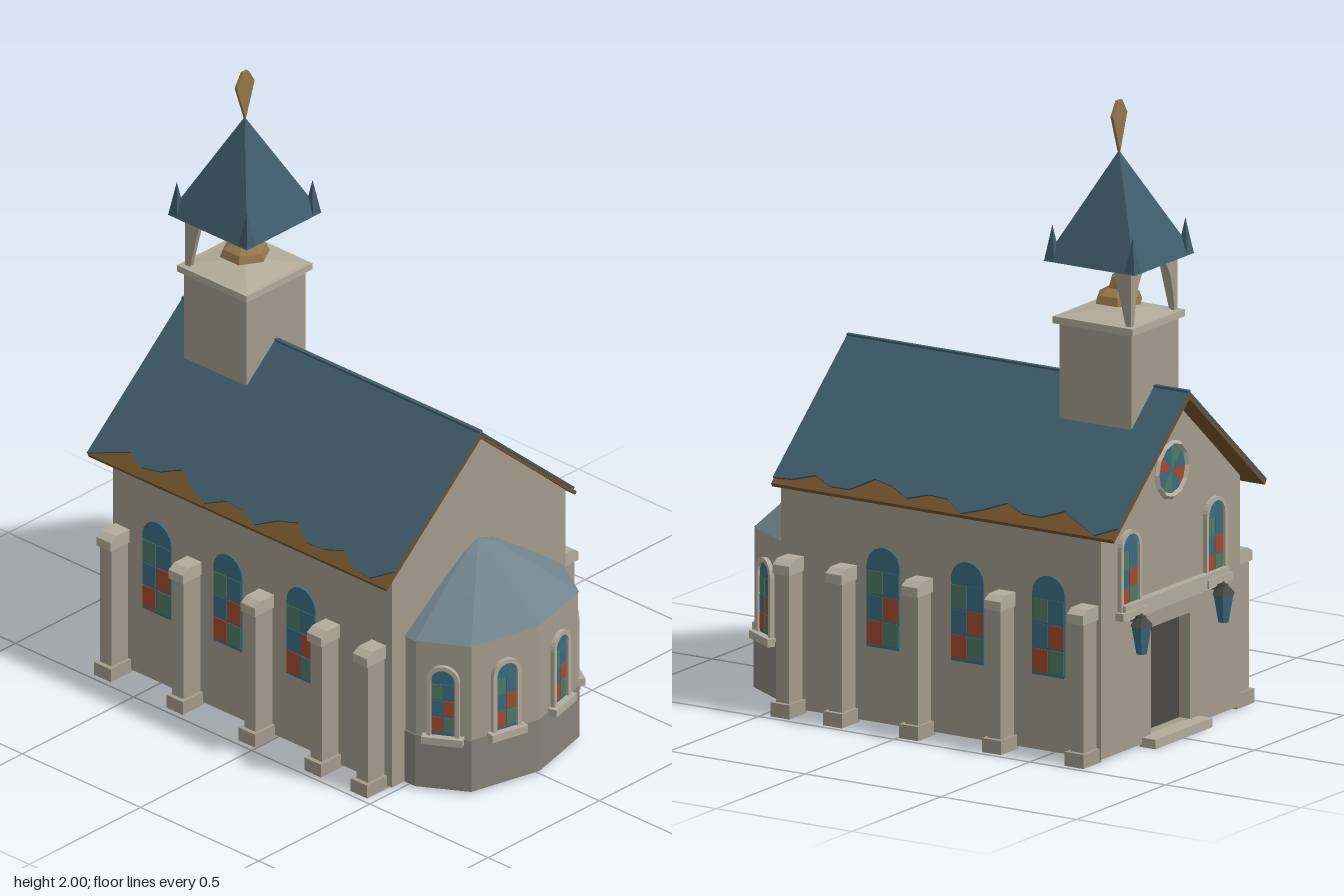
import * as THREE from 'three';

const paint = (color) => new THREE.MeshStandardMaterial({ color, flatShading: true, side: THREE.DoubleSide });
const STONE = paint(0xa39b8b), PLINTH = paint(0x87827a), SLATE = paint(0x3f5b6a), WOOD = paint(0x6f5129);
const BRONZE = paint(0x94764a), LEAD = paint(0x71838c), DARK = paint(0x4a4844), TRIM = paint(0xb3ab9b);
const BLUE = paint(0x3a6a80), RED = paint(0xa34a2e), GREEN = paint(0x4d7a62);

function add(parent, name, geometry, material, x = 0, y = 0, z = 0) {
  const mesh = new THREE.Mesh(geometry, material);
  mesh.name = name;
  mesh.position.set(x, y, z);
  parent.add(mesh);
  return mesh;
}
const box = (parent, name, mat, w, h, d, x, y, z) =>
  add(parent, name, new THREE.BoxGeometry(w, h, d), mat, x, y + h / 2, z);
const poly = (points) => new THREE.Shape(points.map(([x, y]) => new THREE.Vector2(x, y)));
const extrude = (shape, depth) =>
  new THREE.ExtrudeGeometry(shape, { depth, bevelEnabled: false, curveSegments: 8 });

// Round-headed outline standing on y = 0
function arch(w, h, Type = THREE.Shape) {
  const s = new Type(), r = w / 2;
  s.moveTo(-r, 0);
  s.lineTo(r, 0);
  s.lineTo(r, h - r);
  s.absarc(0, h - r, r, 0, Math.PI, false);
  s.lineTo(-r, 0);
  return s;
}

// Stained glass window facing +z, origin at the middle of the sill
function stainedWindow(w, h, frame = 0) {
  const g = new THREE.Group();
  g.name = 'archedWindow';
  add(g, 'glass', extrude(arch(w, h), 0.006), BLUE);
  const panes = [[0, 0, RED], [1, 1, RED], [0, 2, GREEN], [1, 2, BLUE], [1, 0, GREEN], [0, 1, BLUE]];
  for (const [col, row, mat] of panes)
    box(g, 'pane', mat, w * 0.46, h * 0.23, 0.004, (col - 0.5) * w * 0.5, 0.01 + row * h * 0.25, 0.006);
  if (frame) {
    const ring = arch(w + frame * 2, h + frame);
    ring.holes.push(arch(w, h, THREE.Path));
    add(g, 'frame', extrude(ring, 0.015), TRIM);
    box(g, 'sill', TRIM, w + frame * 4, 0.025, 0.035, 0, -0.025, 0.012);
  }
  return g;
}

function place(parent, object, x, y, z, turn = 0) {
  object.position.set(x, y, z);
  object.rotation.y = turn;
  parent.add(object);
}

function buildNave(root) {
  const outline = [[-0.39, 0.01], [0.39, 0.01], [0.39, 0.745], [0, 1.09], [-0.39, 0.745]];
  add(root, 'naveWalls', extrude(poly(outline), 1.13), STONE, 0, 0, -0.64);
  // Entrance wall with a recessed doorway
  const wall = poly(outline);
  wall.holes.push(new THREE.Path([[-0.11, 0.03], [-0.11, 0.37], [0.11, 0.37], [0.11, 0.03]]
    .map(([x, y]) => new THREE.Vector2(x, y))));
  add(root, 'entranceWall', extrude(wall, 0.05), STONE, 0, 0, -0.69);
  box(root, 'door', DARK, 0.22, 0.34, 0.01, 0, 0.03, -0.645);
  box(root, 'doorStep', TRIM, 0.32, 0.03, 0.06, 0, 0, -0.71);
  box(root, 'doorLintel', TRIM, 0.58, 0.05, 0.03, 0, 0.43, -0.7);
  const rose = new THREE.Group();
  rose.name = 'roseWindow';
  add(rose, 'rim', new THREE.TorusGeometry(0.085, 0.01, 4, 12), TRIM);
  for (let i = 0; i < 8; i++)
    add(rose, 'petal', new THREE.CircleGeometry(0.08, 2, i * Math.PI / 4, Math.PI / 4), [BLUE, GREEN, BLUE, RED][i % 4]);
  place(root, rose, 0, 0.85, -0.695, Math.PI);
  for (const s of [-1, 1]) {
    place(root, stainedWindow(0.09, 0.24, 0.012), s * 0.24, 0.46, -0.69, Math.PI);
    // Wall lamps beside the door
    box(root, 'lampBracket', DARK, 0.02, 0.02, 0.06, s * 0.23, 0.42, -0.715);
    add(root, 'lamp', new THREE.CylinderGeometry(0.035, 0.018, 0.09, 6), BLUE, s * 0.23, 0.365, -0.735);
    add(root, 'lampCap', new THREE.ConeGeometry(0.038, 0.04, 6), DARK, s * 0.23, 0.43, -0.735);
    for (const z of [-0.5, -0.2, 0.11])
      place(root, stainedWindow(0.12, 0.32), s * 0.39, 0.25, z, s * Math.PI / 2);
    for (const z of [-0.65, -0.345, -0.04, 0.24, 0.435]) {
      const b = new THREE.Group();
      b.name = 'buttress';
      box(b, 'foot', STONE, 0.1, 0.045, 0.07, 0.43, 0, 0);
      box(b, 'shaft', STONE, 0.08, 0.43, 0.048, 0.425, 0.03, 0);
      const cap = extrude(poly([[0.38, 0.455], [0.475, 0.455], [0.475, 0.485], [0.45, 0.5], [0.38, 0.5]]), 0.06);
      add(b, 'cap', cap, TRIM, 0, 0, -0.03);
      place(root, b, 0, 0, z, s < 0 ? Math.PI : 0);
    }
  }
}

function buildRoof(root) {
  // Timber deck, open below the eaves
  const deck = poly([[0, 1.1], [-0.43, 0.728], [-0.425, 0.717], [0, 1.085], [0.425, 0.717], [0.43, 0.728]]);
  add(root, 'roofDeck', extrude(deck, 1.26), WOOD, 0, 0, -0.76);
  // Slate skin with a ragged lower edge on each slope
  const slope = Math.atan2(0.372, 0.43), length = Math.hypot(0.372, 0.43);
  for (const s of [-1, 1]) {
    const edge = [[0, -0.76], [0, 0.5]];
    for (let i = 0; i <= 18; i++) {
      const reach = 0.93 + 0.045 * Math.sin(i * 1.9 + s) + 0.025 * Math.sin(i * 0.8);
      edge.push([length * Math.min(1, reach), 0.5 - i * 0.07]);
    }
    const skin = extrude(poly(edge), 0.007);
    skin.rotateX(Math.PI / 2);
    skin.translate(0, 0.008, 0);
    skin.rotateZ(-slope);
    const mesh = add(root, 'slateSlope', skin, SLATE, 0, 1.1, 0);
    if (s < 0) mesh.scale.x = -1;
  }
  box(root, 'ridge', SLATE, 0.014, 0.014, 1.26, 0, 1.098, -0.13);
}

function buildApse(root) {
  const plan = [[0.33, 0.49], [0.33, 0.535], [0.24, 0.685], [0, 0.745], [-0.24, 0.685], [-0.33, 0.535], [-0.33, 0.49]];
  const prism = (k, y0, y1) => {
    const g = extrude(poly(plan.map(([x, z]) => [x * k, -0.49 - (z - 0.49) * k])), y1 - y0);
    return g.rotateX(-Math.PI / 2).translate(0, y0, 0);
  };
  add(root, 'apseWalls', prism(1, 0.01, 0.52), STONE);
  add(root, 'apsePlinth', prism(1.012, 0.01, 0.19), PLINTH);
  // Faceted half-dome roof from shrinking copies of the plan
  const rings = [[1.01, 0.52], [0.58, 0.625], [0.2, 0.71], [0, 0.735]];
  const pos = [], index = [], n = plan.length;
  rings.forEach(([k, y]) => plan.forEach(([x, z]) => pos.push(x * k, y, 0.49 + (z - 0.49) * k)));
  for (let r = 0; r < rings.length - 1; r++)
    for (let i = 0; i < n - 1; i++) {
      const a = r * n + i, b = a + n;
      index.push(a, b, a + 1, a + 1, b, b + 1);
    }
  const roof = new THREE.BufferGeometry();
  roof.setAttribute('position', new THREE.Float32BufferAttribute(pos, 3));
  roof.setIndex(index);
  roof.computeVertexNormals();
  add(root, 'apseRoof', roof, LEAD);
  // One window in the middle of each large facet
  for (let i = 1; i < 5; i++) {
    const [x0, z0] = plan[i], [x1, z1] = plan[i + 1];
    place(root, stainedWindow(0.075, 0.23, 0.014), (x0 + x1) / 2, 0.2, (z0 + z1) / 2, Math.atan2(z1 - z0, x0 - x1));
  }
}

function buildTower(root) {
  const tower = new THREE.Group();
  tower.name = 'bellTower';
  place(root, tower, 0, 0, -0.5);
  const pyramid = (name, half, h, mat, x, y, z) =>
    add(tower, name, new THREE.ConeGeometry(half * Math.SQRT2, h, 4).rotateY(Math.PI / 4), mat, x, y + h / 2, z);
  box(tower, 'towerShaft', STONE, 0.265, 0.32, 0.265, 0, 0.985, 0);
  box(tower, 'towerCornice', TRIM, 0.295, 0.022, 0.295, 0, 1.3, 0);
  pyramid('towerTop', 0.135, 0.025, TRIM, 0, 1.322, 0);
  // Tapered belfry posts curving into the spire
  const bracket = new THREE.Shape();
  bracket.moveTo(0.13, 1.315);
  bracket.lineTo(0.13, 1.5);
  bracket.lineTo(0.045, 1.5);
  bracket.quadraticCurveTo(0.105, 1.46, 0.113, 1.315);
  const side = poly([[0.13, 1.315], [0.13, 1.5], [0.065, 1.5], [0.112, 1.315]]);
  for (const s of [-1, 1]) {
    const back = add(tower, 'belfryPost', extrude(bracket, 0.015), STONE, 0, 0, -0.13);
    back.scale.x = s;
    const wing = extrude(side, 0.015).rotateY(Math.PI / 2);
    add(tower, 'belfryPostSide', wing, STONE, s * 0.122 - 0.0075, 0, 0);
    for (const t of [-1, 1]) pyramid('pinnacle', 0.018, 0.11, SLATE, s * 0.148, 1.505, t * 0.148);
  }
  // Bell
  const profile = [[0.08, 1.36], [0.07, 1.385], [0.035, 1.405], [0.025, 1.44], [0, 1.46]];
  add(tower, 'bell', new THREE.LatheGeometry(profile.map(([x, y]) => new THREE.Vector2(x, y)), 6), BRONZE);
  add(tower, 'bellHanger', new THREE.CylinderGeometry(0.006, 0.006, 0.06, 5), DARK, 0, 1.475, 0);
  // Spire and flat diamond finial
  pyramid('spire', 0.168, 0.34, SLATE, 0, 1.5, 0);
  const diamond = poly([[0, 1.835], [0.04, 1.955], [0.012, 2], [-0.012, 2], [-0.04, 1.955]]);
  add(tower, 'finial', extrude(diamond, 0.01), BRONZE, 0, 0, -0.005);
}

export function createModel() {
  const root = new THREE.Group();
  root.name = 'chapel';
  buildNave(root);
  buildRoof(root);
  buildApse(root);
  buildTower(root);
  return root;
}
